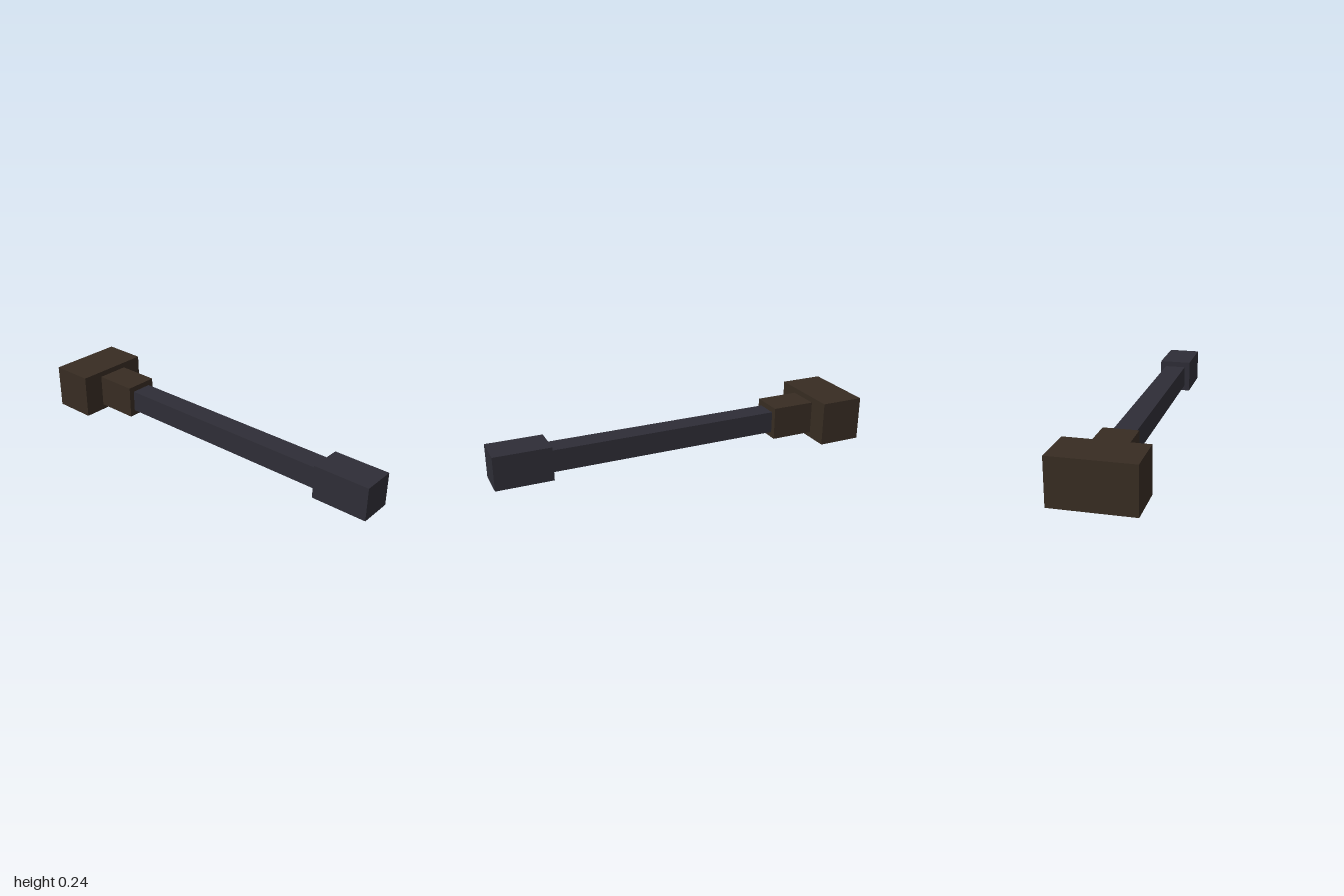
import * as THREE from 'three';

export function createModel() {
  const group = new THREE.Group();
  const darkMetal = new THREE.MeshStandardMaterial({ color: 0x2e2d36 });
  darkMetal.name = 'darkMetal';
  const darkWood = new THREE.MeshStandardMaterial({ color: 0x372c22 });
  darkWood.name = 'darkWood';

  const centreY = 0.118;

  // Box centred on the long axis, running from z0 to z1
  function block(name, material, width, height, z0, z1) {
    const mesh = new THREE.Mesh(new THREE.BoxGeometry(width, height, z1 - z0), material);
    mesh.name = name;
    mesh.position.set(0, centreY, (z0 + z1) / 2);
    group.add(mesh);
  }

  block('endCap', darkMetal, 0.176, 0.176, 0.708, 1);
  block('shaft', darkMetal, 0.116, 0.116, -0.531, 0.708);
  block('collar', darkWood, 0.176, 0.176, -0.766, -0.531);
  block('gripBlock', darkWood, 0.411, 0.236, -1, -0.766);

  return group;
}
